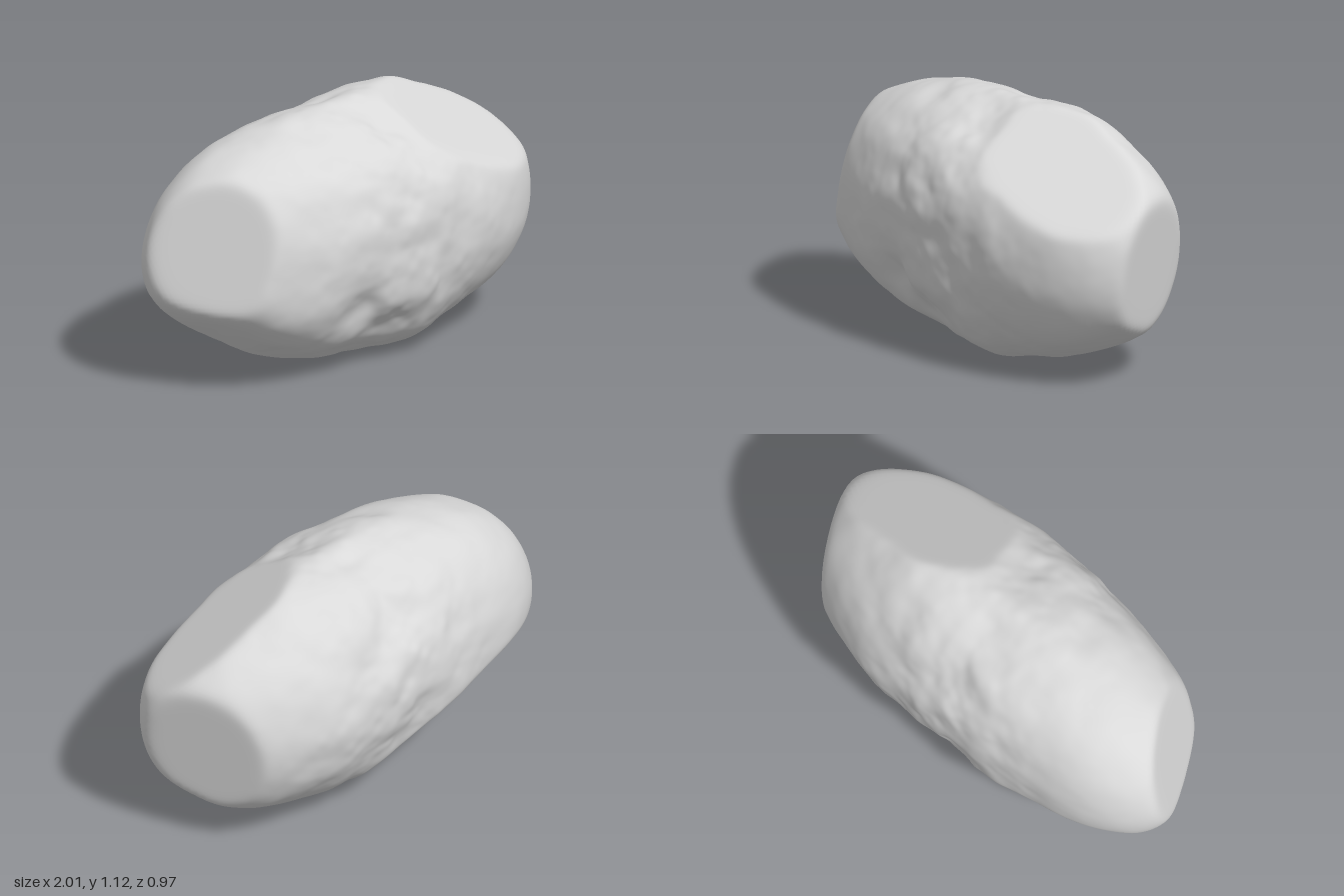
import * as THREE from 'three';
import { mergeVertices } from 'three/addons/utils/BufferGeometryUtils.js';

// Repeatable lattice noise in -1..1
function lattice(x, y, z) {
  let h = Math.imul(x, 374761393) ^ Math.imul(y, 668265263) ^ Math.imul(z, 1274126177);
  h = Math.imul(h ^ (h >>> 13), 1103515245);
  return ((h ^ (h >>> 16)) >>> 0) / 2147483648 - 1;
}

function noise(x, y, z) {
  const [i, j, k] = [x, y, z].map(Math.floor);
  const [u, v, w] = [x - i, y - j, z - k].map((t) => t * t * (3 - 2 * t));
  const mix = THREE.MathUtils.lerp;
  const row = (b, c) => mix(lattice(i, b, c), lattice(i + 1, b, c), u);
  return mix(mix(row(j, k), row(j + 1, k), v), mix(row(j, k + 1), row(j + 1, k + 1), v), w);
}

// Flat breaks: outward normal and distance from the stone's middle
const facets = [
  [0.336, 0.822, 0.459, 0.55], // upper front break
  [-0.85, 0.23, 0.474, 0.803], // end break on the right
  [0.898, -0.12, -0.423, 0.85], // end break on the left
  [-0.25, -0.76, -0.6, 0.472], // underside break at the back
];

// Worn slopes that blend into the body
const slopes = [
  [0.46, -0.88, 0.1, 0.715], // lower left
  [-0.4, -0.88, 0.25, 0.645], // lower right
  [-0.63, -0.74, 0.23, 0.745], // lower right end
];

// Chips: centre, radius and depth (negative depth makes a bump)
const chips = [
  [0.12, 0.47, 0.22, 0.14, 0.05],
  [-0.28, -0.25, 0.4, 0.12, 0.035],
  [-0.12, -0.36, 0.33, 0.09, 0.025],
  [0.05, -0.28, 0.42, 0.12, -0.02],
  [0.05, 0.3, -0.42, 0.12, 0.025],
  [-0.1, -0.1, -0.46, 0.1, 0.015],
  [0.37, 0.51, -0.06, 0.2, -0.04], // crest above the upper break
  [0.13, -0.46, 0.27, 0.17, -0.035], // swelling under the front
  [-0.42, 0.05, -0.45, 0.25, 0.03], // hollow on the back
  [0.32, 0, -0.46, 0.22, -0.02], // swelling on the back
  [-0.65, 0, 0.36, 0.24, 0.022], // hollow on the front
];

// Cut a radius by planes; a higher k gives sharper edges
function cut(radius, d, planes, k) {
  let sum = Math.pow(radius, -k);
  for (const [x, y, z, c] of planes) {
    const along = d.x * x + d.y * y + d.z * z;
    if (along > 0) sum += Math.pow(along / c, k);
  }
  return Math.pow(sum, -1 / k);
}

function stoneRadius(d) {
  // Full body: nearly elliptical girth, blunter along its length
  const girth = Math.pow(Math.abs(d.y / 0.553) ** 2.06 + Math.abs(d.z / 0.478) ** 2.06, 1 / 2.06);
  const ellipsoid = Math.pow(Math.abs(d.x / 1.035) ** 2.4 + girth ** 2.4, -1 / 2.4);
  const body = cut(ellipsoid, d, slopes, 22);
  const p = d.clone().multiplyScalar(body);

  // Roughness fades towards the smoother ends
  const rough = 0.2 + 0.8 * Math.exp(-((p.x / 0.55) ** 2));
  let r = body + rough * (0.016 * noise(p.x * 4 + 9, p.y * 5, p.z * 5)
    + 0.012 * noise(p.x * 9, p.y * 9 + 5, p.z * 9)
    + 0.003 * noise(p.x * 20, p.y * 20, p.z * 20 + 3));
  for (const [x, y, z, size, depth] of chips) {
    const q = (p.x - x) ** 2 + (p.y - y) ** 2 + (p.z - z) ** 2;
    r -= depth * Math.exp(-q / (size * size));
  }
  return cut(r, d, facets, 70);
}

export function createModel() {
  const group = new THREE.Group();
  group.name = 'rock';

  const sphere = new THREE.IcosahedronGeometry(1, 56);
  sphere.deleteAttribute('normal');
  sphere.deleteAttribute('uv');
  const geometry = mergeVertices(sphere, 1e-5);
  const position = geometry.attributes.position;
  const d = new THREE.Vector3();
  for (let i = 0; i < position.count; i++) {
    d.fromBufferAttribute(position, i).normalize();
    d.multiplyScalar(stoneRadius(d));
    position.setXYZ(i, d.x, d.y, d.z);
  }
  geometry.computeVertexNormals();

  // Centre the stone and rest it on the ground
  geometry.center();
  geometry.computeBoundingBox();
  geometry.translate(0, -geometry.boundingBox.min.y, 0);

  const stoneGrey = new THREE.MeshStandardMaterial({ color: 0xd9d9d9 });
  stoneGrey.name = 'stoneGrey';
  const stone = new THREE.Mesh(geometry, stoneGrey);
  stone.name = 'stone';
  group.add(stone);
  return group;
}
